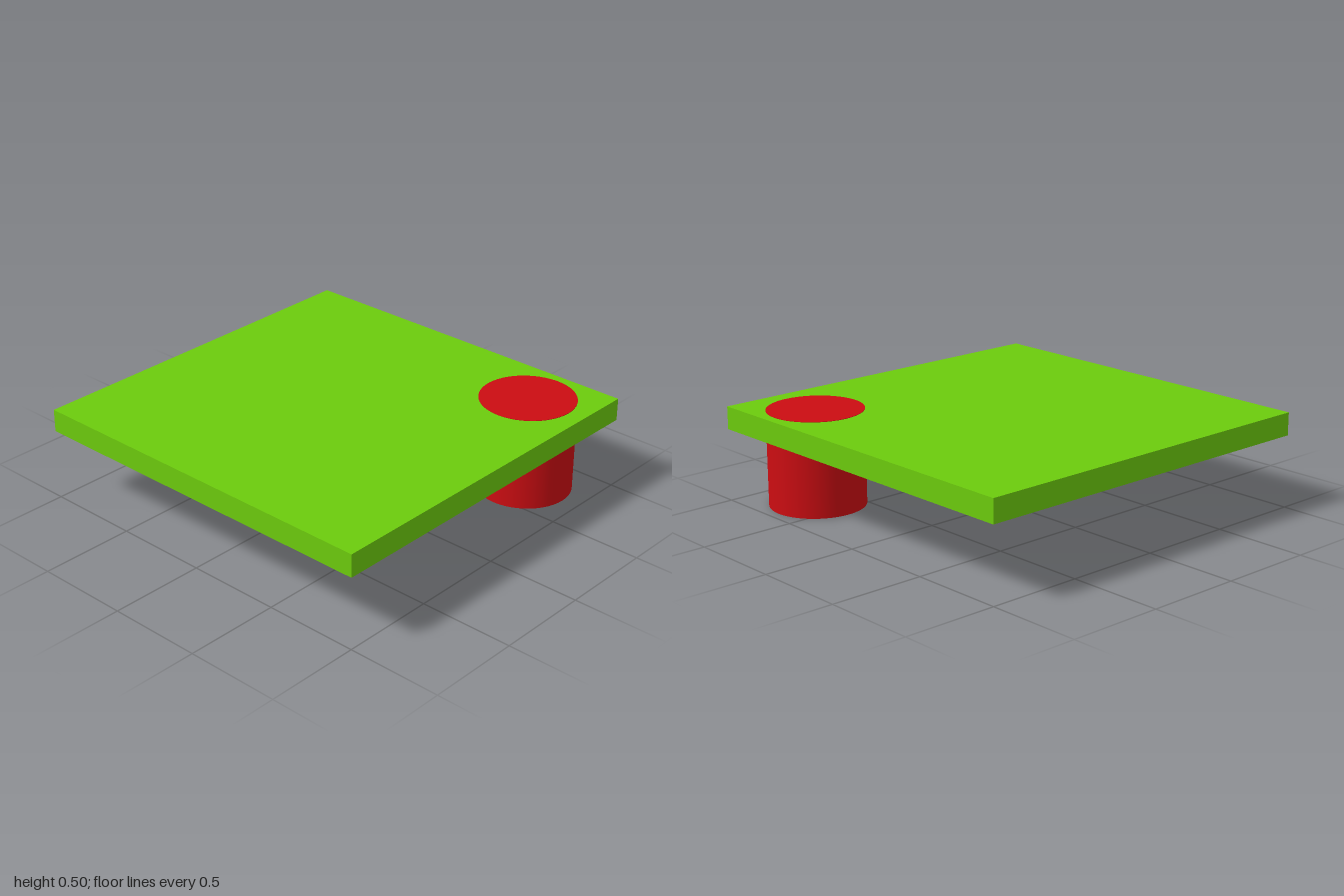
import * as THREE from 'three';

export function createModel() {
  const group = new THREE.Group();

  const addPart = (name, geometry, color, x, y, z) => {
    const mesh = new THREE.Mesh(geometry, new THREE.MeshStandardMaterial({ color }));
    mesh.name = name;
    mesh.position.set(x, y, z);
    group.add(mesh);
  };

  // Flat square slab
  addPart('slab', new THREE.BoxGeometry(2, 0.12, 2), 0x6ccb0d, 0, 0.44, 0);

  // Round post through the back left corner, its top just proud of the slab
  const postHeight = 0.502;
  addPart('post', new THREE.CylinderGeometry(0.25, 0.25, postHeight, 48), 0xcc0d12, 0.66, postHeight / 2, -0.7);

  return group;
}
